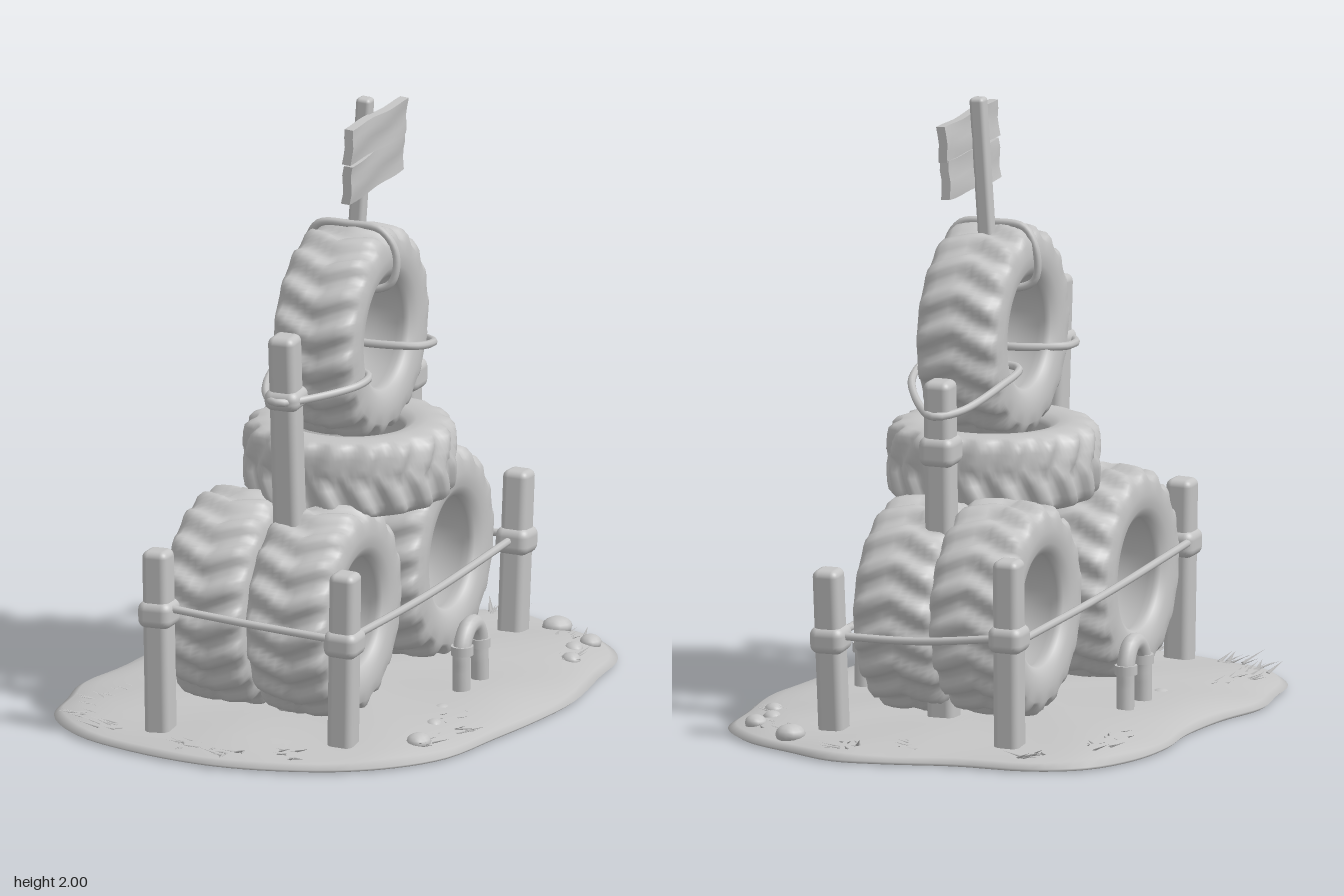
import * as THREE from 'three';
import { mergeVertices } from 'three/addons/utils/BufferGeometryUtils.js';
import { RoundedBoxGeometry } from 'three/addons/geometries/RoundedBoxGeometry.js';

const V = (x, y, z) => new THREE.Vector3(x, y, z);
const UP = V(0, 1, 0);

export function createModel() {
  const root = new THREE.Group();
  root.name = 'tyreTower';
  const grey = new THREE.MeshStandardMaterial({ color: 0xc4c4c4 });
  grey.name = 'clay grey';

  function add(name, geo, pos = V(0, 0, 0), parent = root) {
    const m = new THREE.Mesh(geo, grey);
    m.name = name;
    m.position.copy(pos);
    parent.add(m);
    return m;
  }
  let seed = 7;
  const rnd = () => (seed = (seed * 16807) % 2147483647) / 2147483647;

  // Ground: rings of one outline, rising from a flat underside to a low mound
  const outline = new THREE.CatmullRomCurve3([
    [.22, -.985], [.40, -.91], [.58, -.82], [.70, -.67], [.73, -.45], [.763, -.18], [.74, .05],
    [.695, .29], [.64, .55], [.53, .71], [.37, .83], [.14, .91], [-.07, .93], [-.34, .885],
    [-.57, .79], [-.705, .63], [-.737, .45], [-.763, .29], [-.715, .08], [-.695, -.18],
    [-.715, -.39], [-.69, -.605], [-.60, -.79], [-.44, -.885], [-.18, -.905], [.03, -.96],
  ].map(([x, z]) => V(x, 0, z)), true).getPoints(104).slice(0, 104);
  const rings = [[.001, 0], [.98, 0], [.98, 0], [1, .012], [.97, .026], [.9, .042], [.8, .056], [.65, .065], [.4, .068], [.001, .07]];
  const pos = [], idx = [], n = outline.length;
  rings.forEach(([s, y], r) => outline.forEach((p, j) => {
    const x = p.x * s, z = p.z * s;
    const bump = r > 3 ? .006 * Math.sin(11 * x + 2) * Math.cos(9 * z) : 0;
    pos.push(x, y + bump, z);
    if (r) {
      const a = (r - 1) * n + j, a2 = (r - 1) * n + (j + 1) % n;
      idx.push(a, a + n, a2, a2, a + n, a2 + n);
    }
  }));
  const ground = new THREE.BufferGeometry();
  ground.setAttribute('position', new THREE.Float32BufferAttribute(pos, 3));
  ground.setIndex(idx);
  ground.computeVertexNormals();
  add('ground', ground);

  // Tyre: closed section turned about y, chevron lugs pushed out of the tread
  function tyreGeometry(R, w) {
    const section = [
      [.19, -.55], [.178, -.72], [.185, -.85], [.215, -.97], [.255, -1], [.295, -.97], [.318, -.9], [.333, -.78],
      [.338, -.6], [.34, -.4], [.341, -.2], [.341, 0], [.341, .2], [.34, .4], [.338, .6], [.333, .78], [.318, .9],
      [.295, .97], [.255, 1], [.215, .97], [.185, .85], [.178, .72], [.19, .55], [.205, 0], [.19, -.55],
    ].map(([r, h]) => new THREE.Vector2(r * R / .341, h * w));
    let g = new THREE.LatheGeometry(section, 160);
    const p = g.attributes.position;
    for (let i = 0; i < p.count; i++) {
      const x = p.getX(i), y = p.getY(i), z = p.getZ(i), r = Math.hypot(x, z);
      const tread = THREE.MathUtils.smoothstep(r, R * .84, R * .95);
      const wave = Math.sin(18 * Math.atan2(z, x) + 3.4 * Math.abs(y) / w + (y > 0 ? .6 : 0));
      const groove = Math.abs(y) < w * .1 ? -.004 : 0;
      const k = 1 + tread * (.011 * THREE.MathUtils.clamp(wave * 1.6, -1, 1) - .006 + groove) / r;
      p.setXYZ(i, x * k, y, z * k);
    }
    g.deleteAttribute('normal');
    g.deleteAttribute('uv');
    g = mergeVertices(g, 1e-5);
    g.computeVertexNormals();
    return g;
  }
  const tyre = tyreGeometry(.343, .145);
  [
    ['frontRightTyre', -.18, .40, .345, .2], ['frontLeftTyre', .122, .395, .36, .9],
    ['backRightTyre', -.135, .415, -.36, .5], ['backLeftTyre', .135, .405, -.345, 0],
    ['topTyre', .07, 1.235, .027, .3],
  ].forEach(([name, x, y, z, spin]) => {
    const t = add(name, tyre, V(x, y, z));
    t.rotation.set(spin, 0, Math.PI / 2);
  });
  add('flatTyre', tyreGeometry(.34, .128), V(.068, .812, .03));

  // Posts run from foot to top, with a rope wrap at a given height
  function post(name, foot, top, size, wraps) {
    const dir = top.clone().sub(foot), h = dir.length();
    const g = new THREE.Group();
    g.name = name;
    g.position.copy(foot);
    g.quaternion.setFromUnitVectors(UP, dir.normalize());
    root.add(g);
    add('timber', new RoundedBoxGeometry(size, h, size, 3, size * .26), V(0, h / 2, 0), g);
    wraps.forEach(([y, tall]) =>
      add('ropeWrap', new RoundedBoxGeometry(size + .028, tall, size + .028, 3, .03), V(0, y - foot.y, 0), g));
  }
  post('frontRightPost', V(-.285, .02, .73), V(-.30, .64, .72), .088, [[.43, .09]]);
  post('frontLeftPost', V(.32, .02, .655), V(.335, .625, .67), .088, [[.39, .09]]);
  post('backRightPost', V(-.30, .02, -.72), V(-.305, .66, -.74), .088, [[.40, .09]]);
  post('backLeftPost', V(.315, .02, -.705), V(.32, .58, -.745), .088, [[.35, .09]]);
  post('tallFrontPost', V(.045, .02, .41), V(.035, 1.33, .475), .092, [[1.12, .07]]);
  post('tallBackPost', V(.04, .02, -.45), V(.04, 1.17, -.485), .092, [[.94, .1]]);

  // Ropes
  function rope(name, pts, closed = false, r = .013) {
    const c = new THREE.CatmullRomCurve3(pts.map(p => V(...p)), closed);
    add(name, new THREE.TubeGeometry(c, 48, r, 8, closed));
  }
  const sag = (name, a, b, d) =>
    rope(name, [a, [(a[0] + b[0]) / 2, (a[1] + b[1]) / 2 - d, (a[2] + b[2]) / 2], b]);
  sag('frontRope', [-.29, .455, .735], [.33, .405, .70], .003);
  sag('backRope', [-.30, .40, -.735], [.32, .36, -.735], .015);
  sag('rightRope', [-.335, .44, .72], [-.335, .39, -.73], .01);
  sag('leftRope', [.34, .40, .67], [.31, .355, -.73], .015);
  rope('frontLoop', [[.035, 1.12, .535], [-.03, 1.12, .47], [-.085, 1.14, .32], [-.085, 1.15, .23], [.07, 1.15, .165],
    [.222, 1.15, .23], [.222, 1.14, .32], [.1, 1.12, .47]], true);
  rope('backLoop', [[.04, 1.06, -.54], [-.025, 1.07, -.48], [-.085, 1.12, -.28], [-.085, 1.15, -.13], [.07, 1.15, -.1],
    [.222, 1.15, -.13], [.222, 1.12, -.28], [.105, 1.07, -.48]], true);
  rope('topLoop', [[.07, 1.585, .03], [.18, 1.575, .03], [.228, 1.5, .025], [.21, 1.4, .03], [.07, 1.37, .03],
    [-.07, 1.4, .03], [-.083, 1.5, .025], [-.04, 1.575, .03]], true);

  // Sign: leaning stake with two rough planks
  post('signStake', V(.06, 1.30, -.005), V(.103, 2, -.015), .05, []);
  [[1.888, .118, -.03, .43], [1.765, .128, .02, .42]].forEach(([y, h, tilt, w], i) => {
    const g = new THREE.BoxGeometry(.03, h, w, 1, 4, 12);
    const p = g.attributes.position;
    for (let k = 0; k < p.count; k++) {
      const yy = p.getY(k), z = p.getZ(k);
      p.setX(k, p.getX(k) + .003 * Math.sin(yy * 60 + z * 9 + i));
      p.setY(k, yy + .003 * Math.sin(z * 23 + i * 2));
    }
    g.computeVertexNormals();
    const m = add('signPlank', g, V(.128 + (y - 1.8) * .06, y, -.025));
    m.rotation.set(tilt, 0, -.06);
  });

  // Small bent pipes on each side
  [-.455, .455].forEach(x => {
    const g = new THREE.Group();
    g.name = 'bentPipe';
    g.position.x = x;
    root.add(g);
    const path = new THREE.CatmullRomCurve3([V(0, .03, .02), V(0, .13, .02), V(0, .21, .015), V(0, .262, -.03),
      V(0, .262, -.085), V(0, .21, -.12), V(0, .13, -.125), V(0, .03, -.13)]);
    add('pipe', new THREE.TubeGeometry(path, 40, .029, 12), undefined, g);
    add('pipeCollar', new THREE.CylinderGeometry(.037, .037, .03, 14), V(0, .2, .015), g);
    add('pipeCollar', new THREE.CylinderGeometry(.037, .037, .03, 14), V(0, .19, -.122), g);
  });

  // Stones
  [[.42, -.82, .05], [.59, -.70, .04], [.57, -.61, .035], [.61, -.5, .035], [-.455, .17, .04], [.46, .19, .035],
    [.53, .53, .045], [.5, .34, .03]].forEach(([x, z, r]) => {
    const m = add('stone', new THREE.SphereGeometry(r, 12, 8), V(x, .045, z));
    m.scale.set(1, .65, .9);
    m.rotation.y = x * 9;
  });

  // Grass tufts: fans of flat blades leaning outwards
  const blade = new THREE.ConeGeometry(.009, .08, 4);
  blade.translate(0, .04, 0);
  blade.scale(1, 1, .4);
  [[-.42, -.80], [0, -.80], [.2, -.88], [-.56, -.62], [-.55, -.45], [-.36, -.38], [.34, -.36], [.56, -.48], [.5, -.7],
    [.58, .36], [.46, .24], [.55, .52], [-.56, .4], [-.58, .55], [-.58, .68], [-.45, .74], [0, .86], [-.12, .83],
    [.2, .82]].forEach(([x, z]) => {
    const g = new THREE.Group();
    g.name = 'grassTuft';
    g.position.set(x, .038, z);
    root.add(g);
    const out = Math.atan2(x, z);
    for (let i = 0; i < 9; i++) {
      const a = out + (rnd() - .5) * 1.8;
      const b = add('blade', blade, V((rnd() - .5) * .1, 0, (rnd() - .5) * .1), g);
      b.rotation.set(1.15 + rnd() * .25, a, 0, 'YXZ');
      b.scale.setScalar(.7 + rnd() * .5);
    }
  });
  return root;
}
